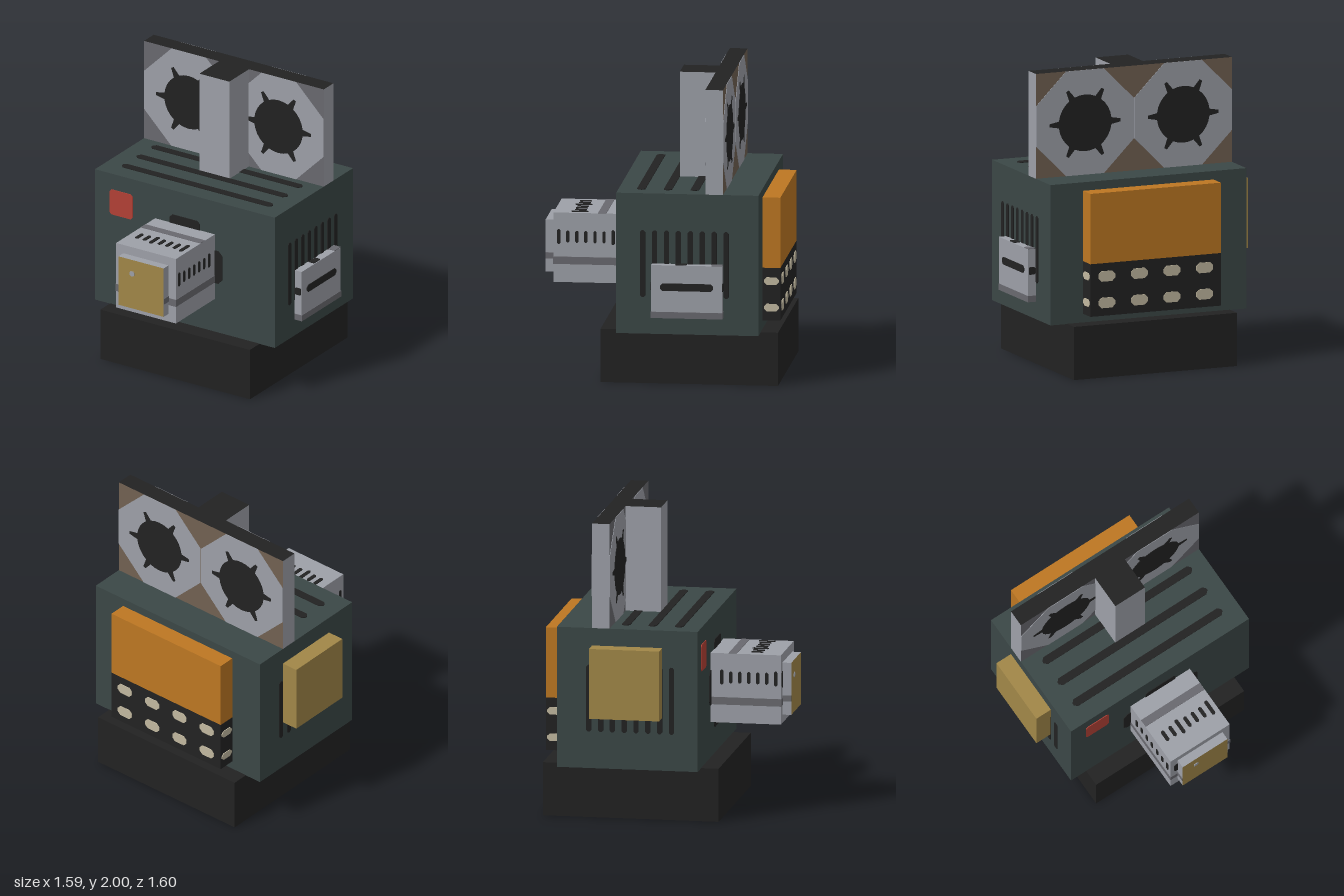
import * as THREE from 'three';

const mat = (name, color) => Object.assign(new THREE.MeshStandardMaterial({ color }), { name });

export function createModel() {
  const root = new THREE.Group();
  root.name = 'filmCamera';
  const green = mat('dark green casing', 0x3b4746);
  const black = mat('black', 0x222222);
  const grey = mat('light grey metal', 0x9da0a8);
  const dark = mat('dark grey', 0x69696f);
  const gold = mat('brass', 0xa18748);
  const orange = mat('orange', 0xbd7722);
  const red = mat('red', 0xb34136);
  const cream = mat('cream contacts', 0xc2b9a0);
  const brown = mat('brown backing', 0x716152);

  // Box from its limits on each axis; m may be six materials (+x -x +y -y +z -z)
  function box(name, m, [x0, x1], [y0, y1], [z0, z1], parent = root) {
    const mesh = new THREE.Mesh(new THREE.BoxGeometry(x1 - x0, y1 - y0, z1 - z0), m);
    mesh.position.set((x0 + x1) / 2, (y0 + y1) / 2, (z0 + z1) / 2);
    mesh.name = name;
    parent.add(mesh);
    return mesh;
  }

  // Thin flat detail lying on a face that looks along the given direction
  const turns = {
    front: [0, 0, 0], back: [0, Math.PI, 0], right: [0, Math.PI / 2, 0],
    left: [0, -Math.PI / 2, 0], top: [-Math.PI / 2, 0, 0], bottom: [Math.PI / 2, 0, 0],
  };
  function decal(name, m, shape, face, x, y, z, depth = 0.005) {
    const geo = new THREE.ExtrudeGeometry(shape, { depth, bevelEnabled: false, curveSegments: 12 });
    const mesh = new THREE.Mesh(geo, m);
    mesh.rotation.set(...turns[face]);
    mesh.position.set(x, y, z);
    mesh.name = name;
    root.add(mesh);
  }

  // Rectangle with clipped corners
  function clipped(w, h, c) {
    const a = w / 2, b = h / 2;
    return new THREE.Shape([
      [a - c, -b], [a, -b + c], [a, b - c], [a - c, b],
      [-a + c, b], [-a, b - c], [-a, -b + c], [-a + c, -b],
    ].map(p => new THREE.Vector2(...p)));
  }

  // Base and casing
  box('base', black, [-0.56, 0.615], [0, 0.357], [-0.793, 0.383]);
  box('casing', [green, green, green, black, green, green], [-0.68, 0.733], [0.355, 1.297], [-0.677, 0.265]);
  for (const z of [-0.24, -0.062, 0.115]) decal('topVent', black, clipped(1.18, 0.055, 0.02), 'top', 0.028, 1.297, z);

  // Vertical vents on both flanks, the outer ones full length
  for (let i = 0; i < 8; i++) {
    const z = 0.09 - i * 0.079;
    decal('sideVent', black, clipped(0.035, 0.45, 0.012), 'right', 0.733, 0.825, z);
    decal('sideVent', black, clipped(0.035, 0.45, 0.012), 'left', -0.68, 0.825, z);
  }

  // Front button and the mount tabs around the lens
  decal('redButton', red, clipped(0.18, 0.18, 0.015), 'front', -0.473, 1.095, 0.265);
  decal('lensMount', black, clipped(0.235, 0.59, 0.02), 'front', 0.028, 0.828, 0.265);
  decal('lensMount', black, clipped(0.585, 0.235, 0.03), 'front', 0.028, 0.828, 0.265);

  // Lens barrel with dark bands and fine slots
  box('lensBarrel', grey, [-0.207, 0.263], [0.594, 1.06], [0.265, 0.735]);
  box('lensBand', dark, [-0.21, 0.266], [0.715, 0.765], [0.266, 0.738]);
  box('lensTopBand', dark, [-0.206, 0.262], [1.05, 1.063], [0.385, 0.44]);
  for (let i = 0; i < 7; i++) {
    const z = 0.34 + i * 0.06, long = i === 0 || i === 6;
    const side = clipped(0.022, long ? 0.1 : 0.08, 0.008);
    decal('barrelSlot', black, side, 'right', 0.263, 0.9, z);
    decal('barrelSlot', black, side, 'left', -0.207, 0.9, z);
    const top = clipped(0.025, i === 2 || i === 6 ? 0.11 : 0.08, 0.008);
    decal('barrelSlot', black, top, 'top', -0.135 + i * 0.059, 1.06, 0.565);
  }
  decal('barrelFrontSlot', black, clipped(0.035, 0.11, 0.01), 'front', -0.16, 0.89, 0.735);
  box('lensRim', [grey, grey, grey, grey, gold, grey], [-0.15, 0.205], [0.65, 1.0], [0.735, 0.794]);
  for (const [x, f] of [[0.205, 'right'], [-0.15, 'left']])
    decal('rimBand', dark, clipped(0.058, 0.04, 0), f, x, 0.76, 0.765, 0.004);
  decal('lensGlint', grey, clipped(0.035, 0.035, 0.008), 'front', -0.043, 0.9, 0.794, 0.004);

  // Brass door on one flank, grey handle plate on the other
  box('sideDoor', gold, [-0.795, -0.68], [0.71, 1.18], [-0.442, 0.028]);
  box('handlePlate', grey, [0.733, 0.79], [0.475, 0.828], [-0.442, 0.028]);
  box('handleLowerTrim', dark, [0.734, 0.793], [0.473, 0.515], [-0.445, 0.031]);
  decal('handleSlot', black, clipped(0.35, 0.05, 0.015), 'right', 0.79, 0.682, -0.207);
  decal('handleNotch', black, clipped(0.045, 0.05, 0.006), 'front', 0.762, 0.682, 0.028);
  decal('handleNotch', black, clipped(0.045, 0.05, 0.006), 'back', 0.762, 0.682, -0.442);
  decal('handleNotch', black, clipped(0.045, 0.075, 0.006), 'top', 0.762, 0.828, -0.168);
  decal('handleTopTrim', dark, clipped(0.055, 0.07, 0), 'top', 0.762, 0.828, -0.407, 0.004);

  // Battery pack: orange cover above a black contact strip
  box('batteryCover', orange, [-0.442, 0.498], [0.768, 1.24], [-0.795, -0.677]);
  box('batteryStrip', black, [-0.442, 0.498], [0.415, 0.768], [-0.795, -0.677]);
  for (const y of [0.68, 0.502]) {
    for (let i = 0; i < 4; i++)
      decal('contact', cream, clipped(0.12, 0.07, 0.022), 'back', 0.381 - i * 0.235, y, -0.795);
    decal('contact', cream, clipped(0.1, 0.05, 0.018), 'right', 0.498, y, -0.737);
    decal('contact', cream, clipped(0.1, 0.05, 0.018), 'left', -0.442, y, -0.737);
  }

  // Reel housing: upright plate and central post
  box('reelPlate', [grey, grey, black, black, dark, brown], [-0.68, 0.733], [1.297, 2], [-0.442, -0.325]);
  box('reelPost', [grey, grey, black, black, grey, grey], [-0.09, 0.145], [1.297, 2], [-0.325, -0.088]);

  // Hub outline: disc with six pointed spokes
  const hub = new THREE.Shape();
  for (let i = 0; i < 6; i++) {
    const a = i * Math.PI / 3;
    const at = (r, t) => [r * Math.cos(a + t), r * Math.sin(a + t)];
    if (i === 0) hub.moveTo(...at(0.19, -0.12)); else hub.lineTo(...at(0.19, -0.12));
    hub.lineTo(...at(0.255, -0.04));
    hub.lineTo(...at(0.255, 0.04));
    for (const t of [0.12, 0.32, 0.52, 0.72]) hub.lineTo(...at(0.19, t));
  }
  for (const x of [-0.327, 0.38]) {
    for (const [face, z, s] of [['front', -0.325, 1], ['back', -0.442, -1]]) {
      decal('reel', grey, clipped(0.703, 0.703, 0.215), face, x, 1.648, z, 0.003);
      decal('reelHub', black, hub, face, x, 1.645, z + s * 0.003, 0.003);
    }
  }
  return root;
}
